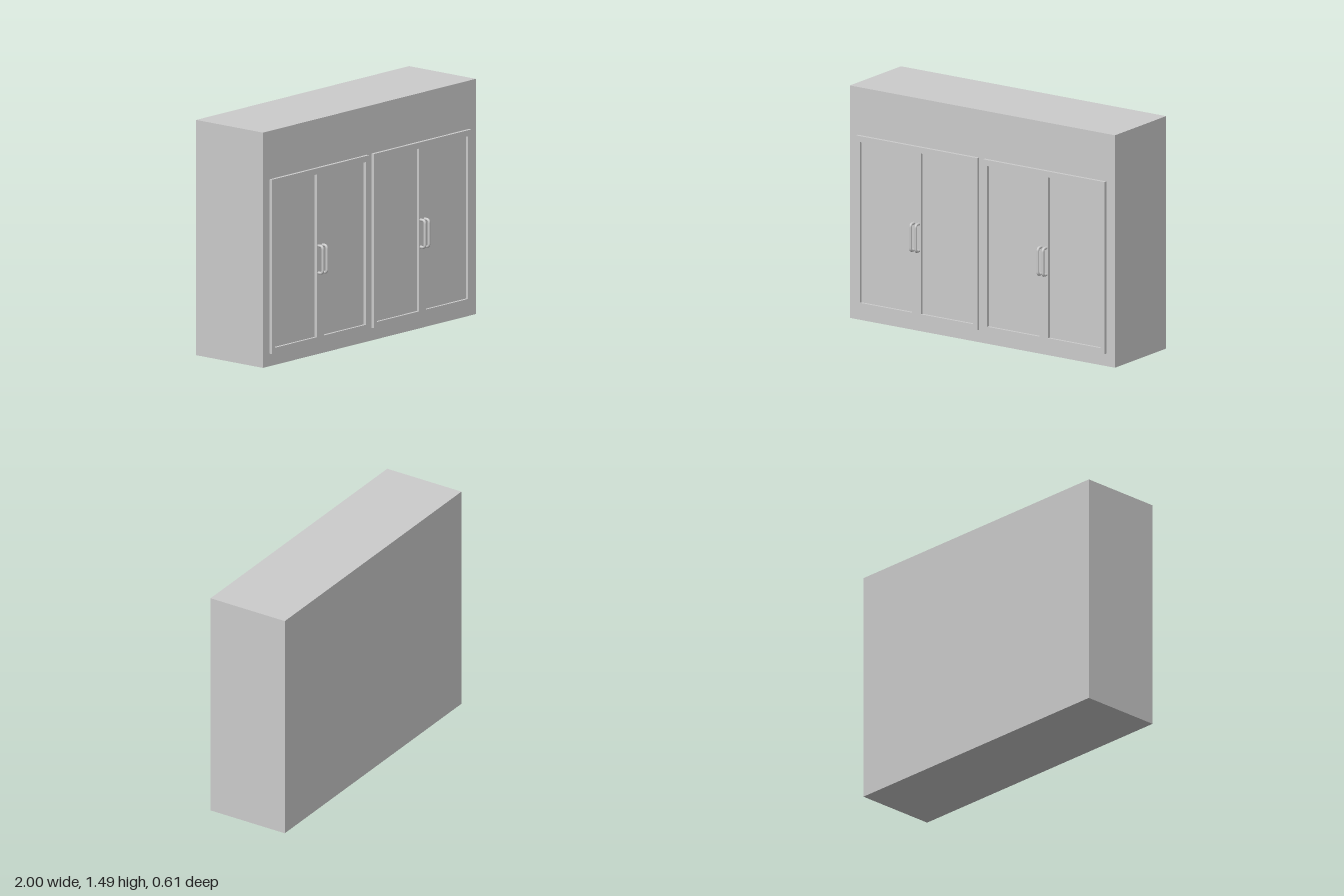
import * as THREE from 'three';

const material = new THREE.MeshStandardMaterial({ color: 0xcccccc });
const FRONT = 0.24;      // front plane of the cabinet body
const DOOR_FACE = 0.26;  // front plane of the door frames

function addMesh(parent, name, geometry) {
  const mesh = new THREE.Mesh(geometry, material);
  mesh.name = name;
  parent.add(mesh);
  return mesh;
}

function rectangle(path, x0, y0, x1, y1) {
  path.moveTo(x0, y0);
  path.lineTo(x1, y0);
  path.lineTo(x1, y1);
  path.lineTo(x0, y1);
  path.closePath();
  return path;
}

// Bow handle: two short legs joined by an upright grip with rounded corners
function handleGeometry() {
  const low = 0.519, high = 0.69, out = 0.296, bend = 0.02;
  const v = (y, z) => new THREE.Vector3(0, y, z);
  const path = new THREE.CurvePath();
  path.add(new THREE.LineCurve3(v(low, DOOR_FACE - 0.005), v(low, out - bend)));
  path.add(new THREE.QuadraticBezierCurve3(v(low, out - bend), v(low, out), v(low + bend, out)));
  path.add(new THREE.LineCurve3(v(low + bend, out), v(high - bend, out)));
  path.add(new THREE.QuadraticBezierCurve3(v(high - bend, out), v(high, out), v(high, out - bend)));
  path.add(new THREE.LineCurve3(v(high, out - bend), v(high, DOOR_FACE - 0.005)));
  return new THREE.TubeGeometry(path, 72, 0.009, 12, false);
}

// Pair of doors: one framed slab with two openings, thin panes and two handles
function doorPair(name, x0) {
  const group = new THREE.Group();
  group.name = name;
  const openings = [[0.03, 0.423], [0.49, 0.883]];
  const bottom = 0.115, top = 1.142;

  const shape = rectangle(new THREE.Shape(), 0, 0.08, 0.915, 1.18);
  for (const [a, b] of openings) {
    shape.holes.push(rectangle(new THREE.Path(), a, bottom, b, top));
  }
  const frame = new THREE.ExtrudeGeometry(shape, { depth: DOOR_FACE - FRONT, bevelEnabled: false });
  addMesh(group, 'doorFrame', frame).position.z = FRONT;

  for (const [a, b] of openings) {
    const pane = addMesh(group, 'doorPane', new THREE.BoxGeometry(b - a, top - bottom, 0.004));
    pane.position.set((a + b) / 2, (bottom + top) / 2, FRONT + 0.001);
  }

  for (const x of [0.437, 0.475]) {
    addMesh(group, 'handle', handleGeometry()).position.x = x;
  }
  group.position.x = x0;
  return group;
}

export function createModel() {
  const model = new THREE.Group();
  model.name = 'cabinet';

  // Closed cabinet body
  const body = addMesh(model, 'body', new THREE.BoxGeometry(2, 1.485, 0.545));
  body.position.set(0, 1.485 / 2, FRONT - 0.545 / 2);

  model.add(doorPair('rightDoors', -0.94));
  model.add(doorPair('leftDoors', 0.02));
  return model;
}
